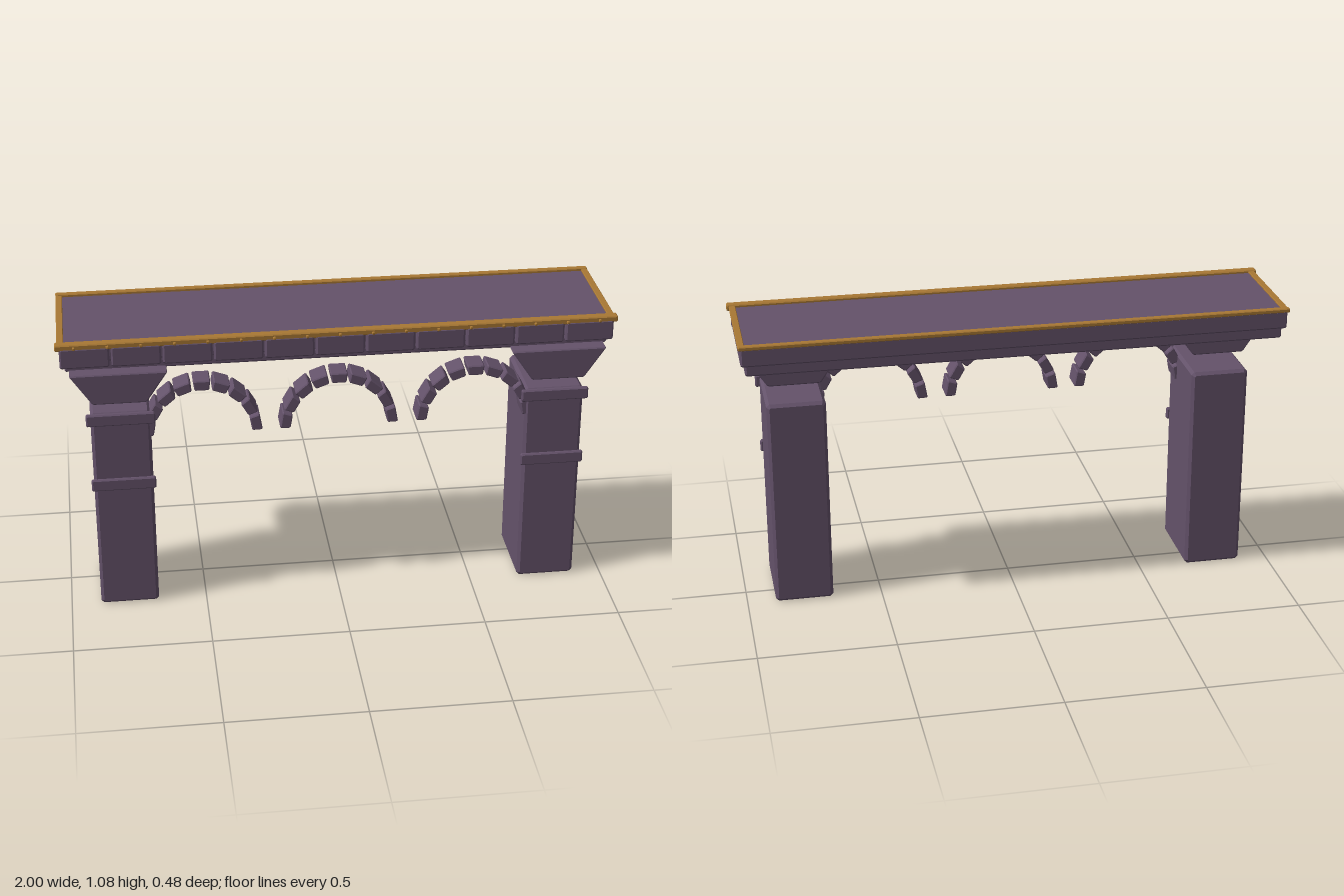
import * as THREE from 'three';

const stone = new THREE.MeshStandardMaterial({ color: 0x64526a });
stone.name = 'purple stone';
const gold = new THREE.MeshStandardMaterial({ color: 0xa87834 });
gold.name = 'gold trim';

// Cut each corner of an outline by the distance c
function cutCorners(points, c) {
  const out = [];
  points.forEach((p, i) => {
    const prev = points[(i + points.length - 1) % points.length];
    const next = points[(i + 1) % points.length];
    for (const q of [prev, next]) {
      out.push(p.clone().add(q.clone().sub(p).setLength(c)));
    }
  });
  return out;
}

// Chamfered prism: an outline in x,y run from z0 to z1
function prism(parent, name, corners, z0, z1, c, material = stone) {
  const points = corners.map(([x, y]) => new THREE.Vector2(x, y));
  const geometry = new THREE.ExtrudeGeometry(new THREE.Shape(cutCorners(points, c)), {
    depth: z1 - z0 - 2 * c,
    bevelEnabled: true, bevelThickness: c, bevelSize: c, bevelOffset: -c, bevelSegments: 1,
  });
  geometry.translate(0, 0, z0 + c);
  const mesh = new THREE.Mesh(geometry, material);
  mesh.name = name;
  parent.add(mesh);
  return mesh;
}

function block(parent, name, x0, x1, y0, y1, z0, z1, c, material = stone) {
  return prism(parent, name, [[x0, y0], [x1, y0], [x1, y1], [x0, y1]], z0, z1, c, material);
}

// Pier with its front mouldings and the loose corbel above
function addPier(parent, name, x) {
  const pier = new THREE.Group();
  pier.name = name;
  pier.position.x = x;
  block(pier, 'shaft', -0.107, 0.107, 0, 0.792, -0.1, 0.2, 0.011);
  block(pier, 'capMoulding', -0.123, 0.123, 0.746, 0.792, 0.193, 0.211, 0.005);
  block(pier, 'bandMoulding', -0.116, 0.116, 0.484, 0.53, 0.193, 0.211, 0.005);
  prism(pier, 'corbel', [[-0.095, 0.849], [0.095, 0.849], [0.173, 0.965], [-0.173, 0.965]],
    -0.063, 0.242, 0.005);
  parent.add(pier);
}

// Half-ring of nine separate wedge stones
function addArch(parent, name, x) {
  const arch = new THREE.Group();
  arch.name = name;
  arch.position.set(x, 0.683, 0);
  const inner = 0.177, outer = 0.215, count = 9, gap = 0.028;
  for (let i = 0; i < count; i++) {
    const a = (i / count) * Math.PI + gap;
    const b = ((i + 1) / count) * Math.PI - gap;
    const at = (r, t) => [r * Math.cos(t), r * Math.sin(t)];
    prism(arch, 'archStone', [at(inner, a), at(outer, a), at(outer, b), at(inner, b)],
      0.105, 0.194, 0.004);
  }
  parent.add(arch);
}

export function createModel() {
  const model = new THREE.Group();
  model.name = 'stoneBridge';

  addPier(model, 'leftPier', 0.788);
  addPier(model, 'rightPier', -0.784);
  addArch(model, 'leftArch', 0.496);
  addArch(model, 'middleArch', 0);
  addArch(model, 'rightArch', -0.492);

  // Deck: slab on a slightly smaller moulding
  const deck = new THREE.Group();
  deck.name = 'deck';
  model.add(deck);
  block(deck, 'lowerMoulding', -0.97, 0.97, 0.958, 1.003, -0.223, 0.19, 0.006);
  block(deck, 'slab', -0.985, 0.985, 0.998, 1.066, -0.236, 0.2, 0.006);

  // Row of facing stones along the front
  const count = 11, pitch = 1.976 / count;
  for (let i = 0; i < count; i++) {
    const x = -0.988 + i * pitch;
    block(deck, 'facingStone', x + 0.003, x + pitch - 0.003, 0.985, 1.062, 0.19, 0.224, 0.006);
  }

  // Gold edging on all four sides
  const trim = new THREE.Group();
  trim.name = 'trim';
  model.add(trim);
  block(trim, 'frontTrim', -1, 1, 1.053, 1.076, 0.188, 0.222, 0.004, gold);
  block(trim, 'backTrim', -0.992, 0.992, 1.061, 1.076, -0.241, -0.217, 0.003, gold);
  for (const s of [-1, 1]) {
    block(trim, s > 0 ? 'leftTrim' : 'rightTrim', s * 0.98 - 0.012, s * 0.98 + 0.012,
      1.062, 1.072, -0.22, 0.192, 0.002, gold);
  }

  // Small studs along the front edging
  for (let i = -8; i <= 8; i++) {
    const x = i * 0.1167;
    block(trim, 'stud', x - 0.005, x + 0.005, 1.058, 1.068, 0.217, 0.231, 0.002, gold);
  }

  return model;
}
